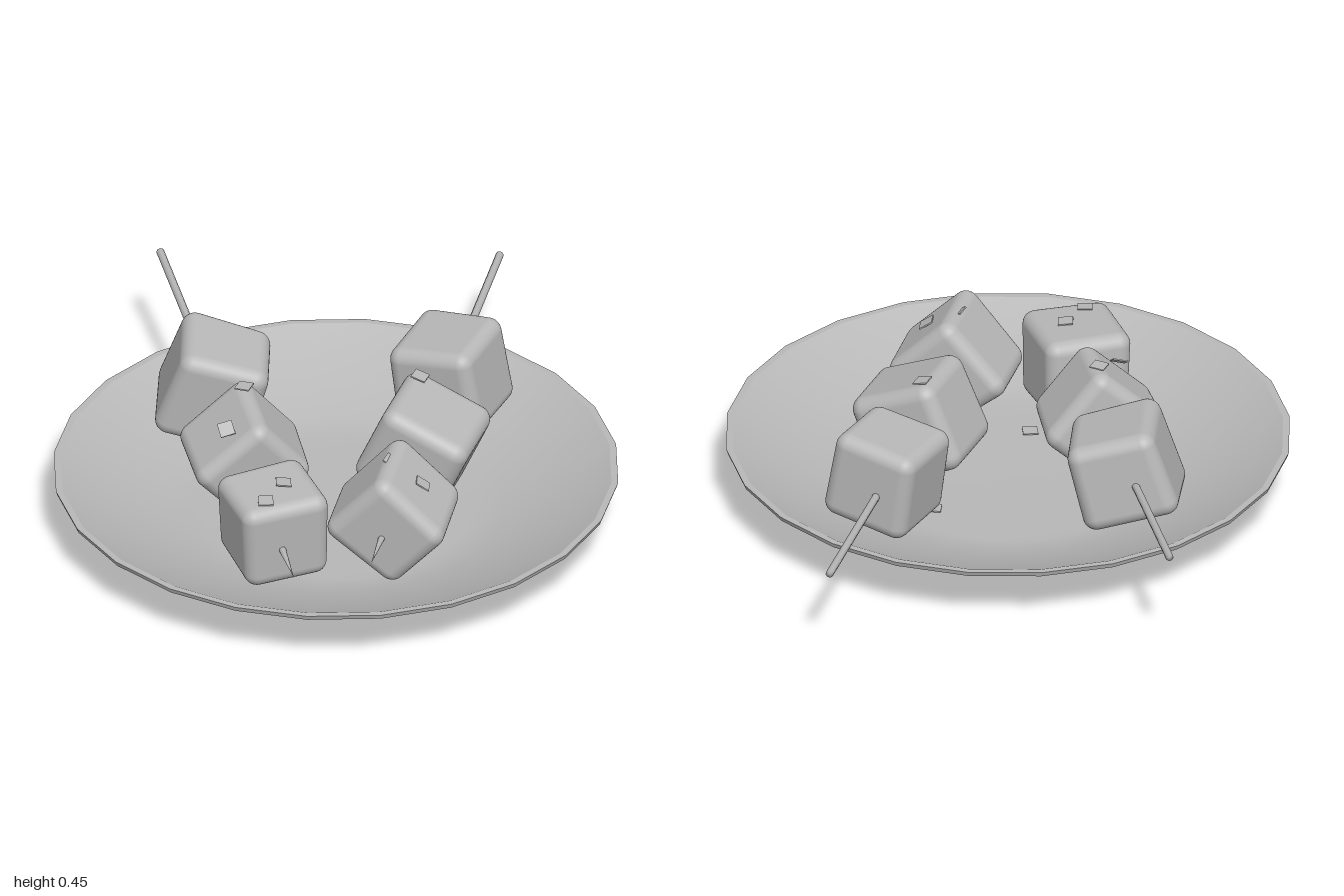
import * as THREE from 'three';
import { RoundedBoxGeometry } from 'three/addons/geometries/RoundedBoxGeometry.js';

const grey = new THREE.MeshStandardMaterial({ color: 0xb8b8b8 });
grey.name = 'plain grey';

function add(parent, geometry, name) {
  const mesh = new THREE.Mesh(geometry, grey);
  mesh.name = name;
  parent.add(mesh);
  return mesh;
}

// Plate: separate lathes keep the rim and foot edges sharp
function makePlate() {
  const plate = new THREE.Group();
  plate.name = 'plate';
  plate.position.z = 0.15;
  const sections = {
    footRecess: [[0, 0.015], [0.375, 0.015]],
    footInnerWall: [[0.375, 0.015], [0.38, 0]],
    footBottom: [[0.38, 0], [0.4, 0]],
    footOuterWall: [[0.4, 0], [0.4, 0.022]],
    underside: [[0.4, 0.022], [0.5, 0.036], [0.63, 0.08], [0.74, 0.13], [0.84, 0.172]],
    rimEdge: [[0.84, 0.172], [0.845, 0.187]],
    rimTop: [[0.845, 0.187], [0.825, 0.187]],
    bowl: [[0.825, 0.187], [0.75, 0.15], [0.63, 0.102], [0.5, 0.06], [0.4, 0.045], [0, 0.045]],
  };
  for (const [name, pts] of Object.entries(sections)) {
    add(plate, new THREE.LatheGeometry(pts.map(p => new THREE.Vector2(...p)), 24), name);
  }
  return plate;
}

// Slightly irregular soft cube
function cubeGeometry(size, seed) {
  const g = new RoundedBoxGeometry(size, size, size, 4, size * 0.15);
  const p = g.attributes.position;
  const k = 1 / size;
  for (let i = 0; i < p.count; i++) {
    const x = p.getX(i), y = p.getY(i), z = p.getZ(i);
    const a = 0.05 * Math.sin(seed), b = 0.05 * Math.cos(seed * 1.7);
    p.setXYZ(i, x * (1 + a * y * k * 2), y * (1 + b * z * k * 2), z * (1 + a * x * k * 2));
  }
  return g;
}

// Stick with a sharpened front end
function makeStick(back, front) {
  const a = new THREE.Vector3(...back), b = new THREE.Vector3(...front);
  const length = a.distanceTo(b);
  const g = new THREE.LatheGeometry([
    [0, 0], [0.012, 0.001], [0.012, length - 0.16], [0, length],
  ].map(p => new THREE.Vector2(...p)), 8);
  const stick = new THREE.Mesh(g, grey);
  stick.name = 'stick';
  stick.position.copy(a);
  stick.quaternion.setFromUnitVectors(new THREE.Vector3(0, 1, 0), b.sub(a).normalize());
  return stick;
}

function makeSkewer(name, back, front, cubes) {
  const skewer = new THREE.Group();
  skewer.name = name;
  skewer.add(makeStick(back, front));
  cubes.forEach(({ at, size, turn }, i) => {
    const cube = add(skewer, cubeGeometry(size, i * 2 + name.length), 'cube' + (i + 1));
    cube.position.set(...at);
    cube.rotation.set(turn[0], turn[1], turn[2], 'YXZ');
  });
  return skewer;
}

export function createModel() {
  const model = new THREE.Group();
  model.name = 'skewersOnPlate';
  model.add(makePlate());

  model.add(makeSkewer('rightSkewer', [-0.84, 0.335, -0.585], [0.11, 0.195, 0.79], [
    { at: [-0.46, 0.28, -0.045], size: 0.285, turn: [0.08, 0.32, -0.3] },
    { at: [-0.245, 0.25, 0.26], size: 0.27, turn: [0.08, 0.58, 0.72] },
    { at: [-0.045, 0.225, 0.56], size: 0.265, turn: [0.06, 0.74, 0.04] },
  ]));
  model.add(makeSkewer('leftSkewer', [0.085, 0.287, -1], [0.31, 0.222, 0.67], [
    { at: [0.178, 0.275, -0.345], size: 0.275, turn: [0.04, -0.08, 0.14] },
    { at: [0.23, 0.25, 0.025], size: 0.285, turn: [0.04, 0.03, 1.15] },
    { at: [0.28, 0.24, 0.4], size: 0.275, turn: [0.04, 0.15, 0.85] },
  ]));

  // Small square flakes: x, y, z, yaw, pitch, roll
  const flakes = [
    [-0.27, 0.448, 0.21, 0, 0, 0.05],
    [-0.27, 0.385, 0.36, 0.7, 0.6, 0.3],
    [-0.015, 0.365, 0.55, 0.4, 0, -0.1],
    [-0.03, 0.36, 0.66, 0.4, 0.1, 0],
    [0.19, 0.432, -0.055, 0, 0, -0.25],
    [0.27, 0.412, 0.395, 0, 0, -0.5],
    [0.37, 0.355, 0.395, 0.3, 0, -0.6],
    [0.12, 0.05, -0.13, 0.3, 0, 0],
    [0.04, 0.05, 0.41, 0.5, 0, 0],
  ];
  for (const [x, y, z, yaw, pitch, roll] of flakes) {
    const flake = add(model, new THREE.BoxGeometry(0.045, 0.004, 0.045), 'flake');
    flake.position.set(x, y, z);
    flake.rotation.set(pitch, yaw, roll, 'YXZ');
  }
  return model;
}
